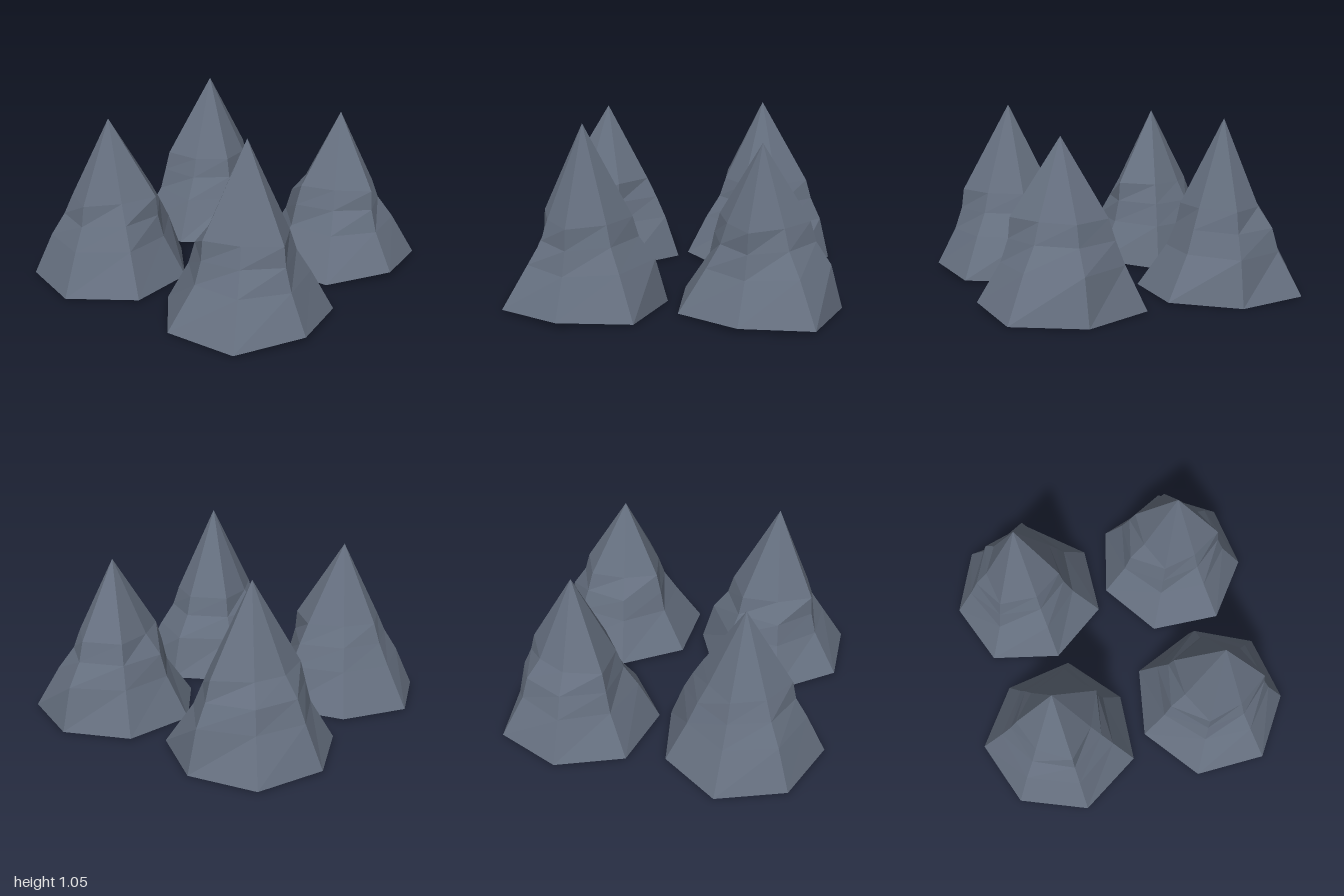
import * as THREE from 'three';

const SIDES = 7;
const RING_Y = [0.01, 0.26, 0.395, 0.515];

// Ring radii run clockwise from the rear corner; turn is in degrees.
const SPIKES = [
  { name: 'backLeftOuterSpike', x: -0.5, z: -0.49, height: 0.985, turn: 5.5, lift: 0, rings: [
    [0.5, 0.475, 0.505, 0.47, 0.5, 0.505, 0.49],
    [0.36, 0.34, 0.41, 0.335, 0.36, 0.385, 0.375],
    [0.29, 0.28, 0.345, 0.3, 0.285, 0.31, 0.29],
    [0.245, 0.215, 0.28, 0.29, 0.22, 0.285, 0.235]] },
  { name: 'backRightSpike', x: 0.52, z: -0.495, height: 1.02, turn: 0, lift: 0, rings: [
    [0.477, 0.503, 0.47, 0.503, 0.503, 0.493, 0.503],
    [0.36, 0.355, 0.405, 0.335, 0.33, 0.365, 0.355],
    [0.305, 0.315, 0.34, 0.28, 0.275, 0.28, 0.32],
    [0.225, 0.225, 0.305, 0.23, 0.25, 0.24, 0.29]] },
  { name: 'frontLeftSpike', x: -0.497, z: 0.52, height: 1.055, turn: -14.5, lift: 0.025, rings: [
    [0.49, 0.505, 0.482, 0.508, 0.47, 0.503, 0.503],
    [0.355, 0.385, 0.41, 0.37, 0.355, 0.345, 0.33],
    [0.315, 0.315, 0.315, 0.285, 0.31, 0.26, 0.29],
    [0.225, 0.285, 0.28, 0.245, 0.295, 0.22, 0.28]] },
  { name: 'frontRightSpike', x: 0.52, z: 0.52, height: 0.96, turn: -11.3, lift: 0.025, rings: [
    [0.49, 0.503, 0.476, 0.508, 0.474, 0.503, 0.503],
    [0.35, 0.375, 0.405, 0.36, 0.34, 0.335, 0.335],
    [0.31, 0.32, 0.315, 0.26, 0.295, 0.25, 0.305],
    [0.215, 0.28, 0.28, 0.215, 0.285, 0.21, 0.27]] },
];
SPIKES[0].name = 'backLeftSpike';

function spikeGeometry({ height, turn, lift, rings }) {
  const positions = [];
  const corner = (ring, i) => {
    const k = i % SIDES;
    const a = THREE.MathUtils.degToRad(turn) + (k / SIDES) * Math.PI * 2;
    const r = rings[ring][k];
    let y = RING_Y[ring];
    // Slightly uneven foot
    if (ring === 0) y += k === 4 ? lift : k === 2 ? -0.01 : 0;
    return [r * Math.sin(a), y, -r * Math.cos(a)];
  };
  const triangle = (...points) => points.forEach((p) => positions.push(...p));
  const apex = [0, height, 0];
  const foot = [0, 0.01, 0];
  const top = rings.length - 1;

  for (let i = 0; i < SIDES; i++) {
    // Underside, chipped belts, then the pointed tip
    triangle(foot, corner(0, i), corner(0, i + 1));
    for (let ring = 0; ring < top; ring++) {
      triangle(corner(ring, i), corner(ring + 1, i), corner(ring, i + 1));
      triangle(corner(ring, i + 1), corner(ring + 1, i), corner(ring + 1, i + 1));
    }
    triangle(corner(top, i), apex, corner(top, i + 1));
  }

  const geometry = new THREE.BufferGeometry();
  geometry.setAttribute('position', new THREE.Float32BufferAttribute(positions, 3));
  geometry.computeVertexNormals();
  return geometry;
}

export function createModel() {
  const group = new THREE.Group();
  group.name = 'rockSpikes';
  const stone = new THREE.MeshStandardMaterial({ color: 0x667080, flatShading: true });

  for (const spike of SPIKES) {
    const mesh = new THREE.Mesh(spikeGeometry(spike), stone);
    mesh.name = spike.name;
    mesh.position.set(spike.x, 0, spike.z);
    group.add(mesh);
  }
  return group;
}
